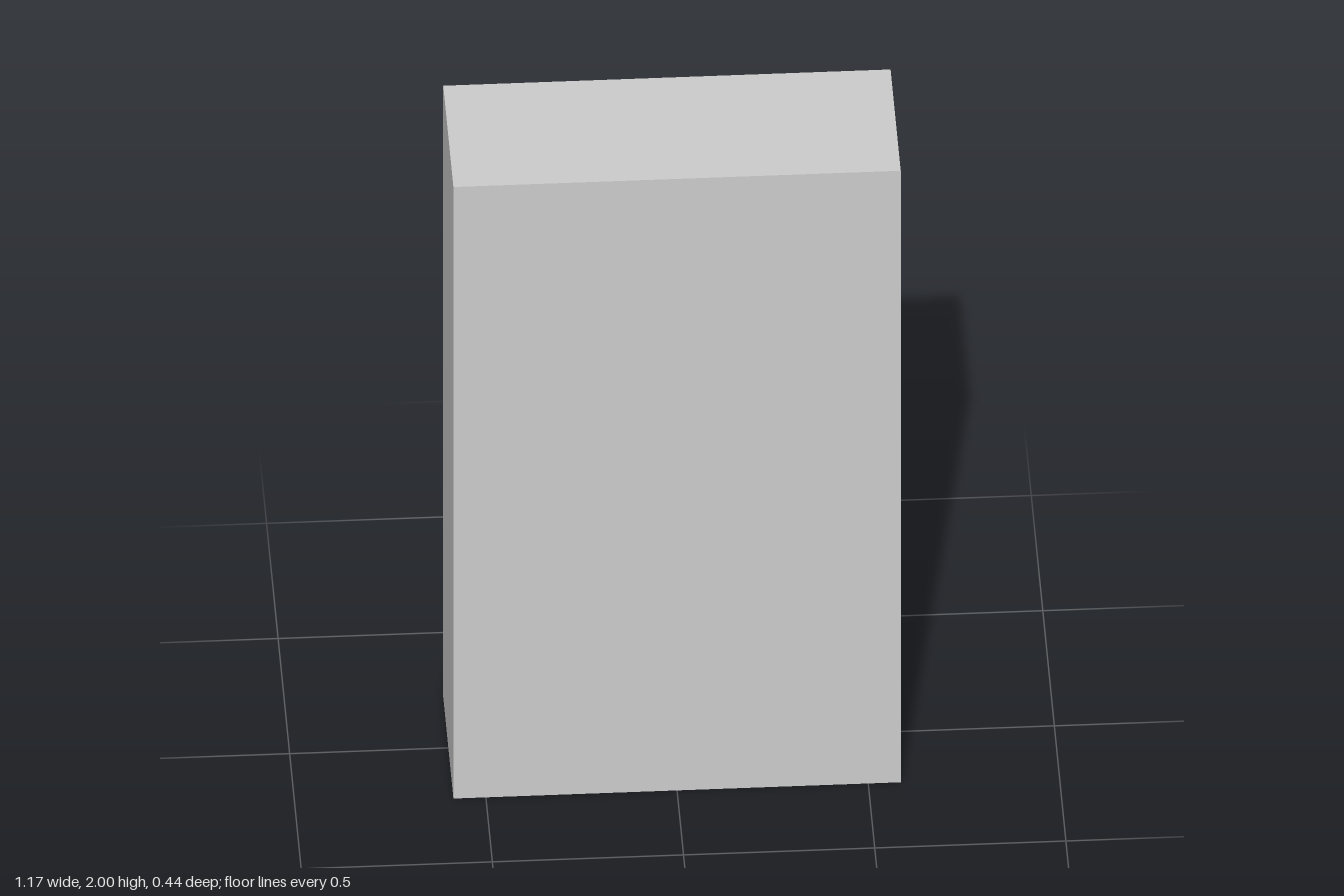
import * as THREE from 'three';

const W = 1.17, H = 2, D = 0.44, WALL = 0.036, BACK = 0.04;
const SHELF_T = 0.07, FLOOR = 0.306, STEP = 0.446;
const SPINE_Z = -D / 2 + 0.112;
const material = new THREE.MeshStandardMaterial({ color: 0xcccccc });

function part(name, geometry, x = 0, y = 0, z = 0) {
  const mesh = new THREE.Mesh(geometry, material);
  mesh.name = name;
  mesh.position.set(x, y, z);
  return mesh;
}

// Upright book: rounded spine towards -z, standing on y = 0, centred on x
function createBook(t, h, depth = 0.23) {
  const r = t / 2, board = 0.007, bulge = Math.min(0.02, t * 0.28);
  const cover = new THREE.Shape();
  cover.moveTo(-r, -depth);
  cover.lineTo(-r + board, -depth);
  cover.lineTo(-r + board, -bulge - board);
  cover.quadraticCurveTo(0, bulge - board, r - board, -bulge - board);
  cover.lineTo(r - board, -depth);
  cover.lineTo(r, -depth);
  cover.lineTo(r, -bulge);
  cover.quadraticCurveTo(0, bulge, -r, -bulge);
  cover.closePath();
  const coverGeo = new THREE.ExtrudeGeometry(cover, { depth: h, bevelEnabled: false, curveSegments: 8 });
  coverGeo.rotateX(-Math.PI / 2);

  const pageDepth = depth - bulge - 0.02;
  const pages = new THREE.BoxGeometry(t - board * 2, h - 0.02, pageDepth);
  const book = new THREE.Group();
  book.name = 'book';
  book.add(part('cover', coverGeo), part('pages', pages, 0, h / 2, bulge + 0.008 + pageDepth / 2));
  return book;
}

// Each upright book: [start measured from the +x side, thickness, height, sideways lean]
const rows = [
  [[0.058, 0.07, 0.30], [0.146, 0.068, 0.29], [0.228, 0.07, 0.30], [0.333, 0.085, 0.30], [0.43, 0.075, 0.29],
    [0.52, 0.085, 0.29], [0.66, 0.085, 0.29, 0.06], [0.84, 0.075, 0.30], [1.01, 0.085, 0.27]],
  [[0.343, 0.092, 0.30], [0.51, 0.068, 0.30], [0.6, 0.068, 0.30],
    [0.775, 0.077, 0.285], [0.853, 0.077, 0.285], [0.931, 0.077, 0.285]],
  [[0.058, 0.075, 0.285], [0.15, 0.07, 0.285], [0.278, 0.065, 0.29, -0.055], [0.365, 0.08, 0.29, -0.06],
    [0.5, 0.078, 0.30], [0.592, 0.072, 0.29], [0.745, 0.085, 0.29], [0.85, 0.08, 0.285], [0.957, 0.078, 0.285]],
  [[0.058, 0.07, 0.295], [0.146, 0.068, 0.29], [0.228, 0.07, 0.30], [0.333, 0.092, 0.295],
    [0.468, 0.085, 0.29, 0.05], [0.64, 0.095, 0.285]],
];

// Lying piles: [row, start from the +x side, length, thickness of each book]
const stacks = [[1, 0.055, 0.285, 0.057], [3, 0.755, 0.355, 0.048]];

export function createModel() {
  const model = new THREE.Group();
  model.name = 'bookcase';

  // Carcass with a deep plinth, open towards -z
  const outline = new THREE.Shape();
  outline.moveTo(-W / 2, 0).lineTo(W / 2, 0).lineTo(W / 2, H).lineTo(-W / 2, H).closePath();
  const opening = new THREE.Path();
  const ix = W / 2 - WALL;
  opening.moveTo(-ix, FLOOR).lineTo(-ix, H - 0.042).lineTo(ix, H - 0.042).lineTo(ix, FLOOR).closePath();
  outline.holes.push(opening);
  const carcass = new THREE.ExtrudeGeometry(outline, { depth: D - BACK, bevelEnabled: false });
  model.add(part('carcass', carcass, 0, 0, -D / 2));
  model.add(part('backPanel', new THREE.BoxGeometry(W, H, BACK), 0, H / 2, D / 2 - BACK / 2));

  // Shelves, set back a little from the opening
  const shelfDepth = D - BACK - 0.052;
  for (let i = 1; i <= 3; i++) {
    const shelf = new THREE.BoxGeometry(ix * 2, SHELF_T, shelfDepth);
    model.add(part('shelf', shelf, 0, FLOOR + i * STEP - SHELF_T / 2, D / 2 - BACK - shelfDepth / 2));
  }

  // Standing and leaning books
  rows.forEach((row, i) => {
    for (const [start, t, h, shift = 0] of row) {
      const book = createBook(t, h);
      const lean = Math.atan(shift / h);
      book.rotation.z = lean;
      book.position.set(W / 2 - start - t / 2, FLOOR + i * STEP + Math.abs(Math.sin(lean)) * t / 2, SPINE_Z);
      model.add(book);
    }
  });

  // Piles of lying books
  for (const [row, start, length, t] of stacks) {
    const pile = new THREE.Group();
    pile.name = 'bookPile';
    for (let k = 0; k < 4; k++) {
      const inset = (k % 2) * 0.006;
      const book = createBook(t, length - inset * 2);
      book.rotation.z = Math.PI / 2;
      book.position.set(W / 2 - start - inset, FLOOR + row * STEP + t * (k + 0.5), SPINE_Z);
      pile.add(book);
    }
    model.add(pile);
  }
  return model;
}
